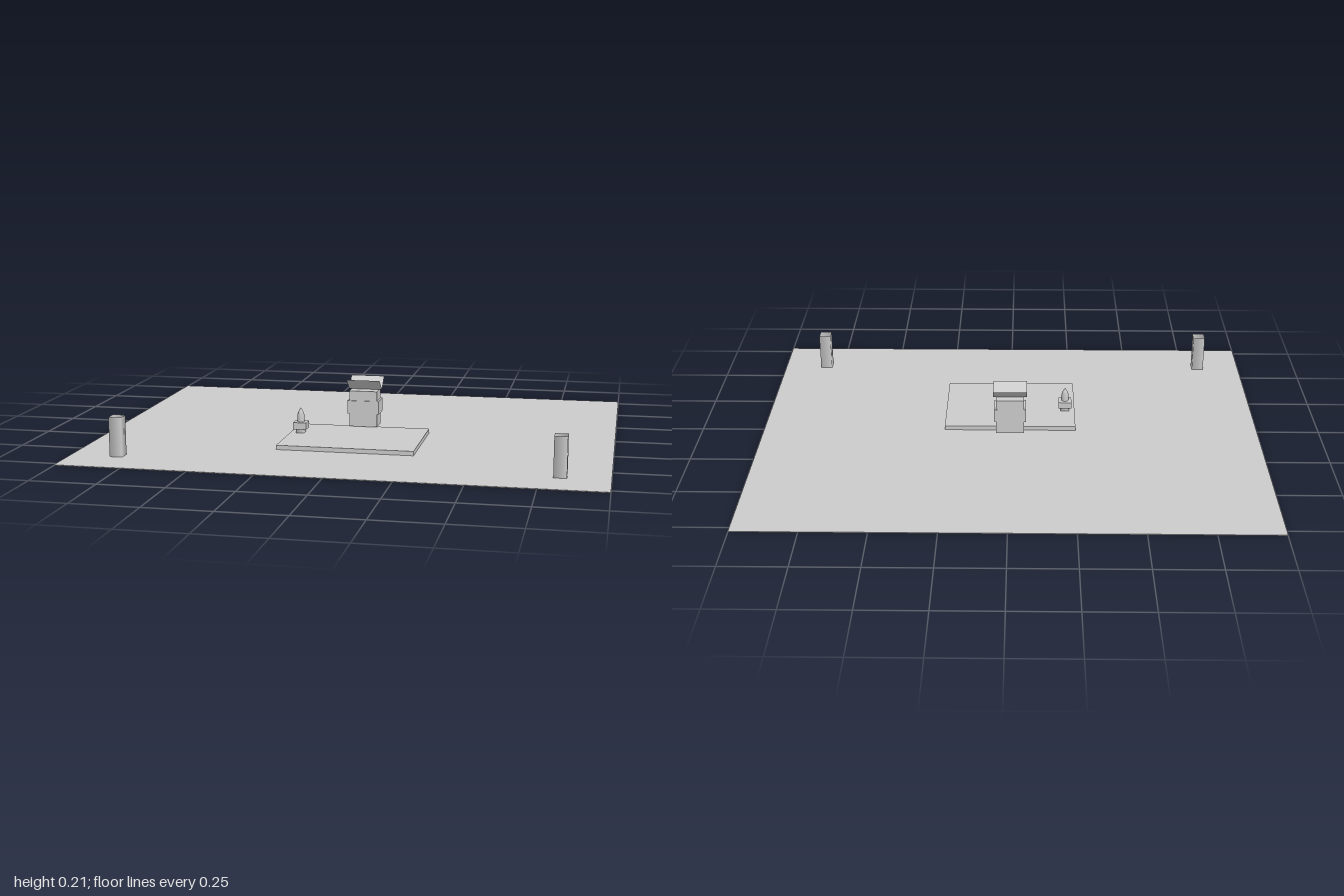
import * as THREE from 'three';

export function createModel() {
  const model = new THREE.Group();
  const grey = new THREE.MeshStandardMaterial({ color: 0xcccccc, side: THREE.DoubleSide });
  grey.name = 'plain grey';

  function add(name, geometry, x, y, z, parent = model) {
    const mesh = new THREE.Mesh(geometry, grey);
    mesh.name = name;
    mesh.position.set(x, y, z);
    parent.add(mesh);
    return mesh;
  }
  const box = (w, h, d) => new THREE.BoxGeometry(w, h, d);
  // Square tube with rounded shading
  const squareTube = (w, h, open) =>
    new THREE.CylinderGeometry(w * Math.SQRT1_2, w * Math.SQRT1_2, h, 4, 1, open).rotateY(Math.PI / 4);

  // Ground sheet and raised slab
  add('ground', box(2, 0.003, 1.56), 0, 0.0015, 0);
  add('slab', box(0.53, 0.019, 0.395), 0, 0.0105, 0.1975);

  // Front posts, open at the top
  for (const side of [-1, 1]) add('post', squareTube(0.048, 0.154, true), side * 0.821, 0.077, 0.6);

  // Box with a wider band and two open flaps
  const crate = new THREE.Group();
  crate.name = 'openBox';
  model.add(crate);
  add('boxBody', box(0.112, 0.145, 0.083), 0, 0.0945, -0.0205, crate);
  add('boxBand', box(0.128, 0.053, 0.088), 0, 0.101, -0.019, crate);
  // Each flap rises from a shared valley on top of the box
  for (const [name, z, y] of [['frontFlap', 0.026, 0.212], ['backFlap', -0.08, 0.214]]) {
    const z0 = -0.028, y0 = 0.167;
    const flap = add(name, new THREE.PlaneGeometry(0.135, Math.hypot(z - z0, y - y0)),
      0, (y + y0) / 2, (z + z0) / 2, crate);
    flap.rotation.x = Math.atan2(z - z0, y - y0);
  }

  // Small pointed lamp on the slab
  const lamp = new THREE.Group();
  lamp.name = 'lamp';
  lamp.position.set(-0.225, 0, 0.155);
  model.add(lamp);
  add('lampFoot', squareTube(0.034, 0.018, false), 0, 0.028, 0, lamp);
  add('lampBlock', box(0.053, 0.027, 0.05), 0, 0.049, 0, lamp);
  const profile = [[0.014, 0.06], [0.014, 0.092], [0.008, 0.107], [0, 0.119]];
  add('lampTop', new THREE.LatheGeometry(profile.map(([r, y]) => new THREE.Vector2(r, y)), 8), 0, 0, 0, lamp);

  return model;
}
